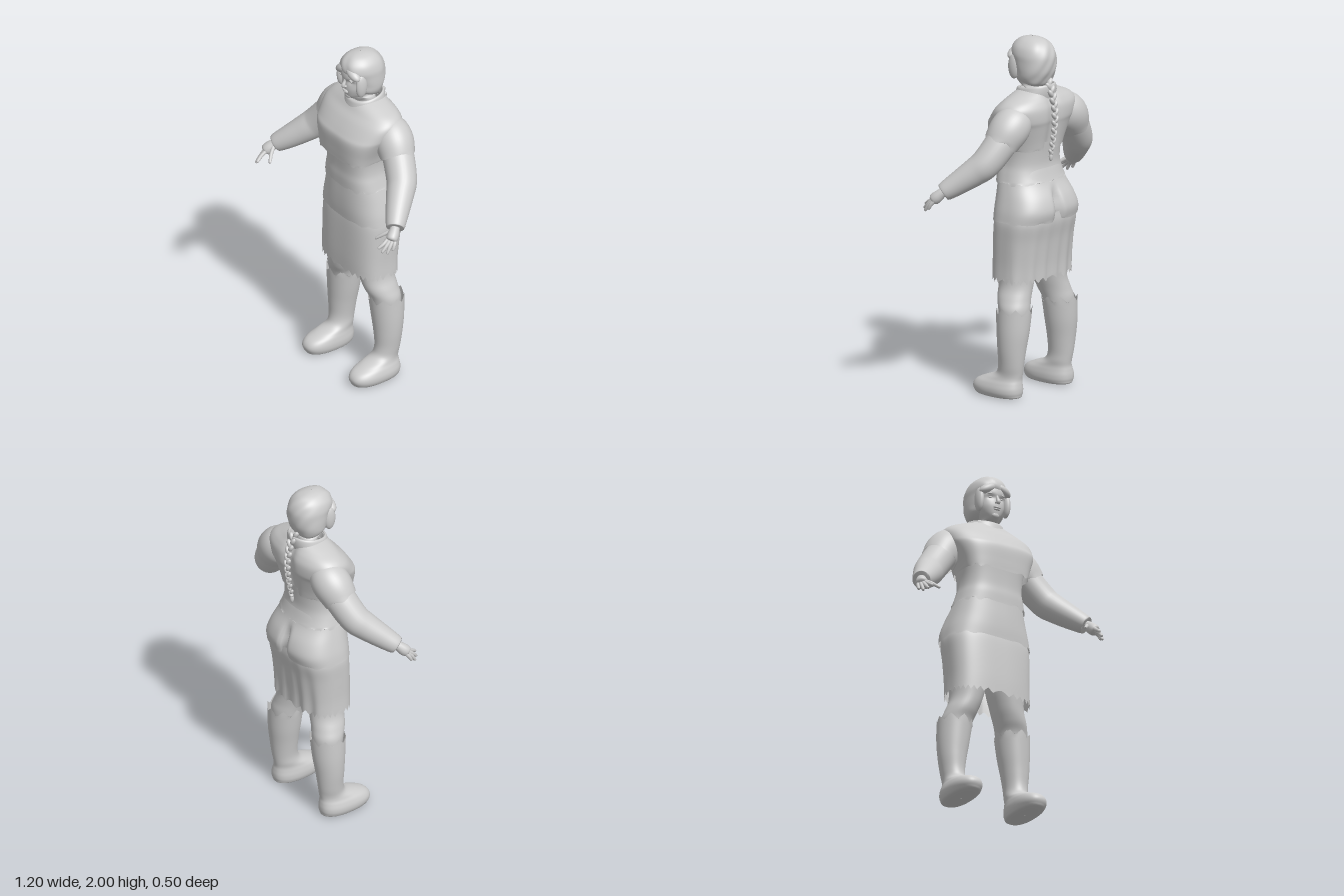
import * as THREE from 'three';

const V = (x, y, z) => new THREE.Vector3(x, y, z);
const grey = new THREE.MeshStandardMaterial({ color: 0xcccccc, side: THREE.DoubleSide });
grey.name = 'pale grey';

function mesh(name, geo) {
  const m = new THREE.Mesh(geo, grey);
  m.name = name;
  return m;
}

// Closed rings of points joined into a smooth skin
function skin(name, rows) {
  const n = rows[0].length, pos = [], idx = [];
  rows.forEach(r => r.forEach(p => pos.push(p.x, p.y, p.z)));
  for (let j = 0; j < rows.length - 1; j++) for (let i = 0; i < n; i++) {
    const a = j * n + i, b = j * n + (i + 1) % n, c = a + n, d = b + n;
    idx.push(a, c, b, b, c, d);
  }
  const g = new THREE.BufferGeometry();
  g.setAttribute('position', new THREE.Float32BufferAttribute(pos, 3));
  g.setIndex(idx);
  g.computeVertexNormals();
  return mesh(name, g);
}

// Smooth interpolation through lists of numbers
function smooth(keys, sub = 5) {
  const out = [], at = i => keys[Math.max(0, Math.min(keys.length - 1, i))];
  for (let k = 0; k < keys.length - 1; k++) for (let s = 0; s < sub; s++) {
    const t = s / sub;
    out.push(keys[k].map((p1, c) => {
      const p0 = at(k - 1)[c], p2 = at(k + 1)[c], p3 = at(k + 2)[c];
      return p1 + 0.5 * t * (p2 - p0 + t * (2 * p0 - 5 * p1 + 4 * p2 - p3 + t * (3 * (p1 - p2) + p3 - p0)));
    }));
  }
  out.push(keys[keys.length - 1]);
  return out;
}

const pow = (v, n) => Math.sign(v) * Math.abs(v) ** (2 / n);
const zig = (i, amp, period) => amp * (Math.abs((i % period) / period - 0.5) * 4 - 1);
const ragged = i => 0.007 * Math.sin(i * 0.55) + zig(i, 0.005, 8);

// Horizontal sections, bottom to top: [y, halfWidth, zFront, zBack, frontSquareness, backSquareness, centreX]
function loft(name, keys, { seg = 128, hem, topHem, rule } = {}) {
  const rings = smooth(keys);
  const rows = rings.map(([y, w, zf, zb, nf = 2.2, nb = 2.2, cx = 0], j) => Array.from({ length: seg }, (_, i) => {
    const t = i / seg * Math.PI * 2, c = Math.cos(t), s = Math.sin(t), n = s > 0 ? nf : nb;
    const p = V(cx + w * pow(c, n), y, (zf + zb) / 2 + (zf - zb) / 2 * pow(s, n));
    if (hem && j === 0) p.y += hem(i);
    if (topHem && j === rings.length - 1) p.y += topHem(i);
    if (rule) rule(p);
    return p;
  }));
  return skin(name, rows);
}

// Tapered limb through points [x, y, z, radius]
function limb(name, keys, seg = 24, hem) {
  const pts = smooth(keys);
  const rows = pts.map(([x, y, z, r], j) => {
    const a = pts[Math.max(0, j - 1)], b = pts[Math.min(pts.length - 1, j + 1)];
    const t = V(b[0] - a[0], b[1] - a[1], b[2] - a[2]).normalize();
    const n = V(0, 0, 1).addScaledVector(t, -t.z).normalize(), m = t.clone().cross(n);
    return Array.from({ length: seg }, (_, i) => {
      const q = i / seg * Math.PI * 2;
      const p = V(x, y, z).addScaledVector(n, r * Math.cos(q)).addScaledVector(m, -r * Math.sin(q));
      if (hem && j === pts.length - 1) p.addScaledVector(t, hem(i));
      return p;
    });
  });
  return skin(name, rows);
}

function ball(name, x, y, z, rx, ry, rz, roll = 0, pitch = 0) {
  const g = new THREE.SphereGeometry(1, 24, 16).scale(rx, ry, rz).rotateX(pitch).rotateZ(roll).translate(x, y, z);
  return mesh(name, g);
}

function mirrored(m) {
  const g = m.geometry.clone().scale(-1, 1, 1), ix = g.index.array;
  for (let i = 0; i < ix.length; i += 3) [ix[i], ix[i + 1]] = [ix[i + 1], ix[i]];
  g.computeVertexNormals();
  return mesh(m.name.replace('left', 'right'), g);
}

export function createModel() {
  const model = new THREE.Group();
  model.name = 'standingWoman';
  const add = (...ms) => model.add(...ms);
  const pair = (...ms) => ms.forEach(m => model.add(m, mirrored(m)));

  // Skirt with toothed hem
  add(loft('skirt', [
    [0.66, 0.245, 0.095, -0.19, 3, 2.8], [0.75, 0.243, 0.096, -0.195, 3, 2.8],
    [0.88, 0.247, 0.093, -0.212, 3, 2.7], [0.98, 0.249, 0.088, -0.232, 2.9, 2.7], [1.04, 0.235, 0.08, -0.23, 2.7, 2.6],
  ], {
    hem: i => zig(i, 0.014, 4),
    rule: p => { if (p.z < -0.1) p.z += 0.006 * Math.sin(p.x * 70) * Math.max(0, 1.05 - p.y) / 0.4; },
  }));

  // Hips, with the seat divided at the back
  add(loft('hips', [
    [0.992, 0.256, 0.094, -0.24, 2.8, 2.7], [1.05, 0.247, 0.098, -0.252, 2.7, 2.7], [1.12, 0.228, 0.099, -0.235, 2.6, 2.5],
    [1.2, 0.203, 0.097, -0.192, 2.6, 2.3], [1.28, 0.178, 0.095, -0.168, 2.6, 2.3],
  ], {
    hem: i => ragged(i) * 0.5,
    rule: p => {
      if (p.z < -0.1) p.z += 0.04 * Math.exp(-((p.x / 0.024) ** 2)) * THREE.MathUtils.smoothstep(1.2 - p.y, 0, 0.1);
    },
  }));

  // Waist layer
  add(loft('waist', [
    [1.2, 0.207, 0.103, -0.192, 2.8, 2.3], [1.25, 0.193, 0.105, -0.174, 2.8, 2.3], [1.3, 0.181, 0.104, -0.166, 2.8, 2.3],
    [1.36, 0.18, 0.108, -0.17, 2.9, 2.3], [1.43, 0.19, 0.115, -0.18, 3, 2.3],
  ], { hem: ragged }));

  // Tunic top with a flat chest
  add(loft('tunicTop', [
    [1.385, 0.196, 0.13, -0.179, 4, 2.3], [1.44, 0.212, 0.134, -0.188, 3.6, 2.4], [1.52, 0.245, 0.137, -0.205, 3, 2.5],
    [1.56, 0.262, 0.12, -0.214, 2.6, 2.6], [1.62, 0.27, 0.08, -0.214, 2.3, 2.5], [1.66, 0.24, 0.045, -0.2, 2.1, 2.3],
    [1.69, 0.175, 0.025, -0.183, 2, 2.1], [1.715, 0.105, 0.005, -0.17, 2, 2],
  ], {
    hem: i => ragged(i) * 0.6,
    rule: p => { if (p.z < -0.1) p.z += 0.022 * Math.exp(-((p.x / 0.04) ** 2)); },
  }));

  // Rolled collar, higher at the back
  add(loft('collar', [
    [1.65, 0.112, 0.03, -0.175], [1.68, 0.116, 0.035, -0.182], [1.71, 0.107, 0.03, -0.185],
    [1.728, 0.1, 0.024, -0.182], [1.73, 0.09, 0.012, -0.172], [1.69, 0.08, 0.0, -0.16],
  ], { rule: p => { p.y -= 0.16 * (p.z + 0.08); } }));

  // Arms: short wide sleeve, long sleeve and hand
  pair(
    limb('leftShortSleeve', [
      [0.14, 1.59, -0.1, 0.07], [0.2, 1.56, -0.1, 0.102], [0.25, 1.515, -0.092, 0.108], [0.295, 1.452, -0.078, 0.096],
    ], 48, ragged),
    limb('leftLongSleeve', [
      [0.25, 1.51, -0.09, 0.088], [0.3, 1.45, -0.08, 0.088], [0.375, 1.355, -0.045, 0.084], [0.42, 1.305, 0.0, 0.077],
      [0.485, 1.24, 0.07, 0.064], [0.532, 1.197, 0.118, 0.052], [0.534, 1.195, 0.12, 0.042], [0.515, 1.213, 0.1, 0.03],
    ], 32),
    limb('leftPalm', [
      [0.515, 1.21, 0.1, 0.026], [0.54, 1.19, 0.128, 0.027], [0.557, 1.163, 0.155, 0.033], [0.566, 1.146, 0.172, 0.028],
      [0.568, 1.142, 0.176, 0.002],
    ], 16),
  );
  const fingers = {
    leftIndexFinger: [[0.55, 1.155, 0.178], [0.552, 1.132, 0.212], [0.545, 1.112, 0.243]],
    leftMiddleFinger: [[0.56, 1.148, 0.175], [0.567, 1.12, 0.208], [0.566, 1.094, 0.234]],
    leftRingFinger: [[0.57, 1.146, 0.166], [0.58, 1.117, 0.193], [0.584, 1.086, 0.213]],
    leftLittleFinger: [[0.576, 1.15, 0.152], [0.589, 1.125, 0.169], [0.593, 1.1, 0.182]],
    leftThumb: [[0.532, 1.183, 0.138], [0.505, 1.157, 0.178], [0.477, 1.13, 0.208]],
  };
  for (const [name, p] of Object.entries(fingers)) {
    const radii = [0.012, 0.0105, 0.008];
    pair(limb(name, [...p.map((q, i) => [...q, radii[i]]), [...p[2].map((v, i) => v + (v - p[1][i]) * 0.12), 0.001]], 10));
  }

  // Legs and boots
  pair(
    loft('leftLeg', [
      [0.42, 0.08, -0.005, -0.16, 2, 2, 0.185], [0.5, 0.088, 0.01, -0.165, 2, 2, 0.18], [0.56, 0.088, 0.035, -0.158, 2, 2, 0.162],
      [0.64, 0.088, 0.05, -0.155, 2, 2, 0.135], [0.78, 0.105, 0.065, -0.17, 2, 2, 0.118], [1.0, 0.11, 0.06, -0.19, 2, 2, 0.115],
    ], { seg: 40 }),
    loft('leftBoot', [
      [0.004, 0.004, 0.02, 0.01, 2, 2, 0.207], [0.005, 0.062, 0.14, -0.12, 2.3, 2.3, 0.208], [0.025, 0.08, 0.166, -0.14, 2.4, 2.4, 0.209],
      [0.055, 0.084, 0.172, -0.144, 2.4, 2.4, 0.209], [0.085, 0.078, 0.15, -0.141, 2.3, 2.3, 0.207],
      [0.11, 0.069, 0.095, -0.138, 2.1, 2.2, 0.204], [0.14, 0.064, 0.02, -0.142, 2, 2, 0.202],
      [0.19, 0.066, -0.002, -0.15, 2, 2, 0.205], [0.28, 0.078, 0.0, -0.162, 2, 2, 0.204],
      [0.38, 0.09, 0.008, -0.175, 2, 2, 0.197], [0.5, 0.098, 0.018, -0.182, 2, 2, 0.187],
    ], { seg: 64, topHem: i => zig(i, 0.018, 8) }),
  );

  // Neck and face
  add(loft('face', [
    [1.64, 0.065, -0.03, -0.14], [1.71, 0.062, -0.025, -0.13], [1.728, 0.05, 0.022, -0.12], [1.742, 0.05, 0.043, -0.12],
    [1.765, 0.064, 0.052, -0.12], [1.8, 0.079, 0.058, -0.13], [1.84, 0.085, 0.056, -0.13], [1.87, 0.086, 0.064, -0.13],
    [1.91, 0.085, 0.058, -0.13], [1.95, 0.06, 0.03, -0.1],
  ], {
    seg: 64,
    rule: p => { // eye sockets
      if (p.z > 0) p.z -= 0.01 * Math.exp(-(((Math.abs(p.x) - 0.034) / 0.018) ** 2) - ((p.y - 1.85) / 0.013) ** 2);
    },
  }));
  add(
    limb('nose', [[0, 1.868, 0.052, 0.007], [0, 1.845, 0.06, 0.008], [0, 1.825, 0.068, 0.012], [0, 1.815, 0.066, 0.011], [0, 1.811, 0.06, 0.002]], 14),
    ball('upperLip', 0, 1.789, 0.056, 0.024, 0.005, 0.01),
    ball('lowerLip', 0, 1.779, 0.054, 0.02, 0.006, 0.01),
    ball('chin', 0, 1.75, 0.038, 0.024, 0.017, 0.013),
  );
  pair(
    ball('leftEye', 0.033, 1.85, 0.036, 0.014, 0.008, 0.012),
    ball('leftBrow', 0.035, 1.868, 0.05, 0.022, 0.005, 0.008, -0.1),
    ball('leftNostril', 0.009, 1.817, 0.06, 0.007, 0.006, 0.008),
  );

  // Hair with a swept fringe
  add(loft('hair', [
    [1.735, 0.055, -0.06, -0.135], [1.75, 0.085, -0.03, -0.15], [1.78, 0.104, 0.012, -0.165], [1.82, 0.11, 0.025, -0.18],
    [1.87, 0.11, 0.042, -0.186], [1.91, 0.108, 0.065, -0.183], [1.95, 0.094, 0.058, -0.165], [1.98, 0.066, 0.03, -0.135],
    [1.995, 0.034, -0.005, -0.095], [2.0, 0.002, -0.045, -0.055],
  ], { seg: 64, rule: p => { p.z += 0.002 * Math.sin(p.x * 90 + p.y * 60); } }));
  add(
    ball('fringeRight', -0.045, 1.902, 0.034, 0.06, 0.027, 0.034, 0.5),
    ball('fringeLeft', 0.045, 1.908, 0.036, 0.058, 0.026, 0.032, -0.45),
  );
  pair(ball('leftSideLock', 0.086, 1.835, 0.01, 0.022, 0.07, 0.036));

  // Braid of alternating strands down the back
  const braid = new THREE.CatmullRomCurve3([V(0, 1.755, -0.165), V(0, 1.69, -0.195), V(0, 1.58, -0.216), V(0, 1.45, -0.203), V(0, 1.37, -0.188)]);
  for (let i = 0; i < 20; i++) {
    const p = braid.getPointAt(i / 19), s = i % 2 ? 1 : -1, k = 1 - 0.35 * i / 19;
    add(ball('braidStrand', p.x + s * 0.011 * k, p.y, p.z, 0.014 * k, 0.027 * k, 0.016 * k, -s * 0.55));
  }
  add(ball('braidTie', 0, 1.362, -0.187, 0.012, 0.01, 0.012), ball('braidTip', 0, 1.34, -0.184, 0.012, 0.025, 0.011));
  return model;
}
